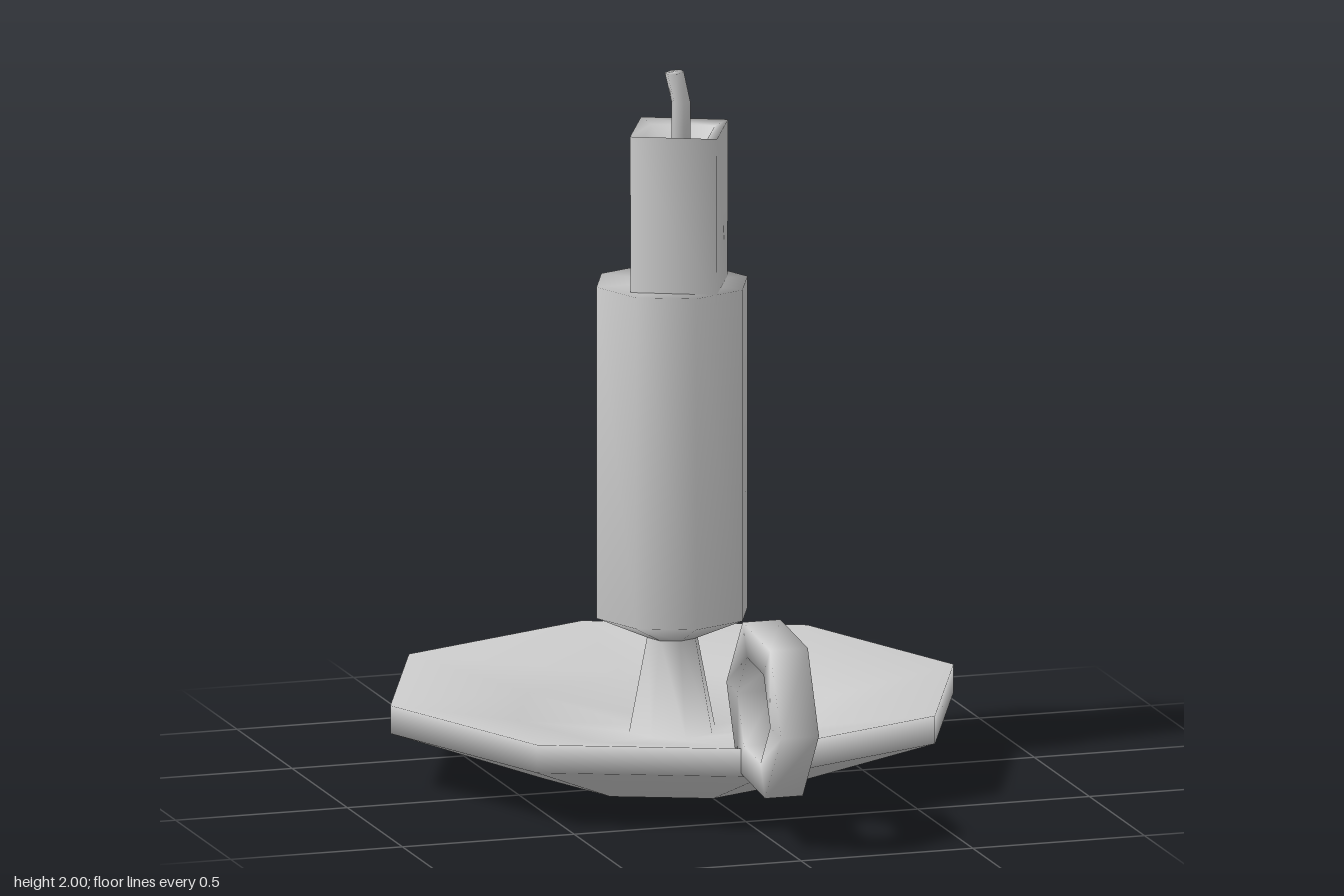
import * as THREE from 'three';
import { mergeVertices } from 'three/addons/utils/BufferGeometryUtils.js';

const material = new THREE.MeshStandardMaterial({ color: 0xcccccc });

// Mesh with normals averaged over every shared vertex
function smoothMesh(name, geometry) {
  geometry.deleteAttribute('normal');
  geometry.deleteAttribute('uv');
  const merged = mergeVertices(geometry, 1e-4);
  merged.computeVertexNormals();
  const mesh = new THREE.Mesh(merged, material);
  mesh.name = name;
  return mesh;
}

// Few-sided turned part from a profile of [radius, height]
function turned(name, sides, profile, phiDegrees = 0) {
  const points = profile.map(([r, y]) => new THREE.Vector2(r, y));
  const phi = THREE.MathUtils.degToRad(phiDegrees);
  return smoothMesh(name, new THREE.LatheGeometry(points, sides, phi));
}

export function createModel() {
  const model = new THREE.Group();
  model.name = 'candlestick';

  // Octagonal dish running smoothly up into the stem
  const dish = turned('dishAndStem', 8, [
    [0, 0], [0.375, 0], [0.82, 0.16], [0.82, 0.24],
    [0.45, 0.17], [0.125, 0.115], [0.072, 0.385],
  ]);

  // Candle socket
  const socket = turned('socket', 8, [
    [0, 0.38], [0.072, 0.38], [0.22, 0.445], [0.22, 1.388], [0, 1.388],
  ]);
  for (const part of [dish, socket]) {
    part.position.z = -0.17;
    model.add(part);
  }

  // Square candle, turned a little, with a hollow melted top
  const candle = turned('candle', 4, [
    [0.17, 1.36], [0.172, 1.832], [0.125, 1.82], [0.095, 1.79], [0, 1.785],
  ], 20);
  candle.position.set(0.01, 0, -0.137);
  model.add(candle);

  // Bent wick: move each level of a short cylinder onto the bend
  const levels = [[0.012, 1.78, -0.127], [0.012, 1.91, -0.127], [-0.01, 1.997, -0.118]];
  const wickGeometry = new THREE.CylinderGeometry(0.027, 0.027, 2, 6, 2);
  const p = wickGeometry.attributes.position;
  for (let i = 0; i < p.count; i++) {
    const level = Math.round(p.getY(i)) + 1;
    const [x, y, z] = levels[level];
    const tilt = level === 2 ? 0.12 * p.getX(i) : 0;
    p.setXYZ(i, p.getX(i) + x, y + tilt, p.getZ(i) + z);
  }
  model.add(smoothMesh('wick', wickGeometry));

  // Six-sided finger ring of square section at the front rim
  const ring = turned('fingerRing', 6, [
    [0.15, -0.055], [0.25, -0.055], [0.25, 0.055], [0.15, 0.055], [0.15, -0.055],
  ], 6);
  ring.rotation.z = -Math.PI / 2;
  ring.position.set(0, 0.375, 0.743);
  model.add(ring);

  return model;
}
